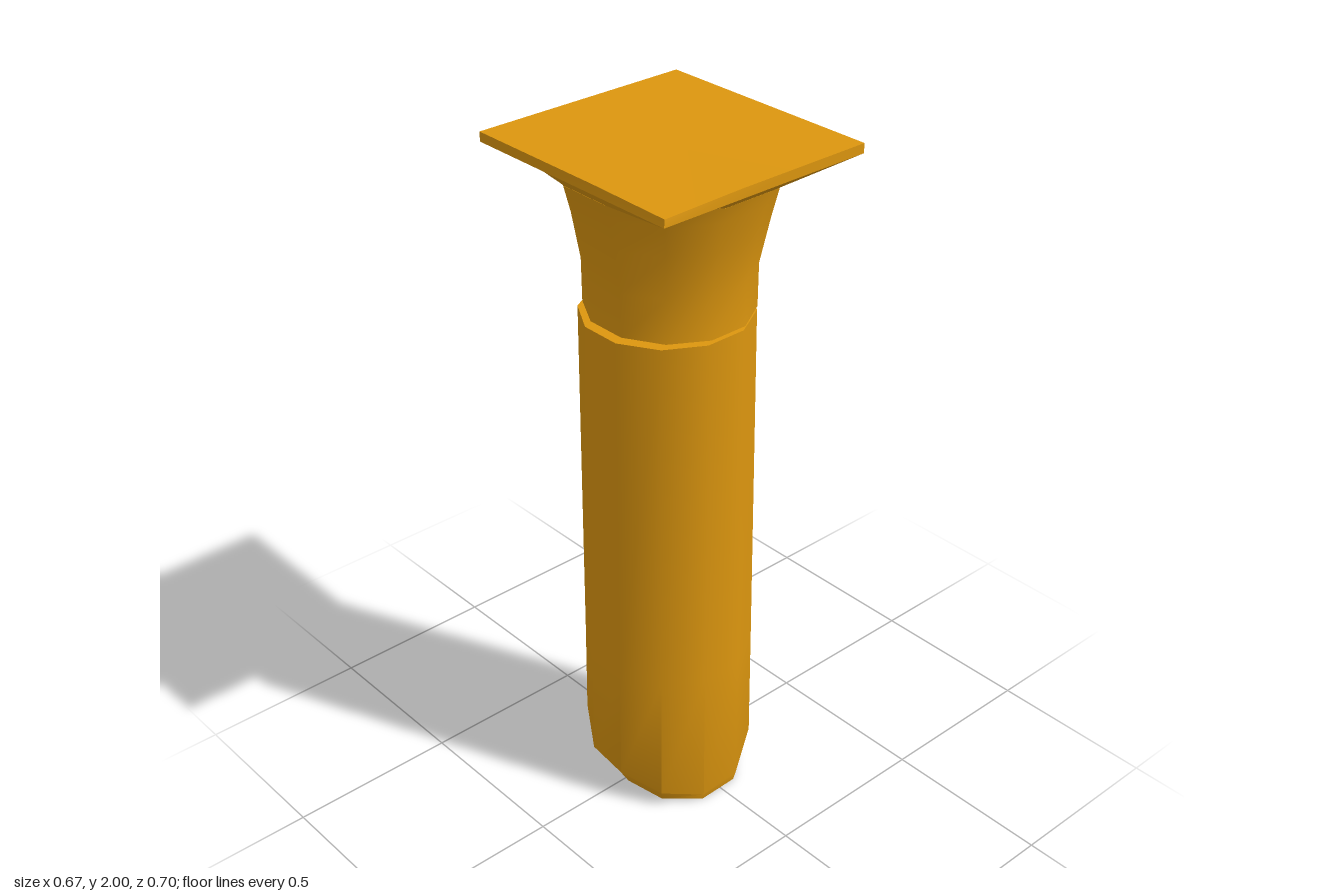
import * as THREE from 'three';
import { toCreasedNormals } from 'three/addons/utils/BufferGeometryUtils.js';

const SIDES = 12;
const material = new THREE.MeshStandardMaterial({ color: 0xdc960f });

// One cross-section: point(angle, index) returns [x, y, z].
function ring(point) {
  return Array.from({ length: SIDES }, (_, i) => point(((i + 0.5) / SIDES) * Math.PI * 2, i));
}

const circle = (rx, rz, y, cx = 0, cz = 0) =>
  ring((a) => [cx + rx * Math.cos(a), y, cz + rz * Math.sin(a)]);

// Rectangle sampled at the same angles, so the corners fall on ring points.
const rectangle = (w, d, y) =>
  ring((a) => {
    const c = Math.cos(a), s = Math.sin(a);
    const k = 1 / Math.max(Math.abs(c), Math.abs(s));
    return [w * c * k, y, d * s * k];
  });

// Skin rings from bottom to top and close both ends.
function loft(rings, crease) {
  const positions = rings.flat(2);
  const index = [];
  const last = (rings.length - 1) * SIDES;
  const addCentre = (r) => {
    for (let k = 0; k < 3; k++) positions.push(r.reduce((sum, p) => sum + p[k], 0) / SIDES);
    return positions.length / 3 - 1;
  };
  const bottom = addCentre(rings[0]);
  const top = addCentre(rings[rings.length - 1]);
  for (let i = 0; i < SIDES; i++) {
    const j = (i + 1) % SIDES;
    for (let r = 0; r < last; r += SIDES) {
      index.push(r + i, r + SIDES + i, r + j, r + j, r + SIDES + i, r + SIDES + j);
    }
    index.push(bottom, i, j, top, last + j, last + i);
  }
  const geometry = new THREE.BufferGeometry();
  geometry.setAttribute('position', new THREE.Float32BufferAttribute(positions, 3));
  geometry.setIndex(index);
  return toCreasedNormals(geometry, crease);
}

function addPart(group, name, rings, crease = 0.62) {
  const mesh = new THREE.Mesh(loft(rings, crease), material);
  mesh.name = name;
  group.add(mesh);
}

export function createModel() {
  const group = new THREE.Group();
  group.name = 'brokenColumn';

  // Shaft, snapped off along a slope with a chipped lower rim
  const chipHeight = [0.21, 0.1, 0.03, 0.02, 0.05, 0.1, 0.12, 0.18, 0.17, 0.18, 0.32, 0.25];
  const chipInset = [0.86, 0.9, 0.97, 0.98, 0.94, 0.86, 0.85, 0.82, 0.8, 0.8, 0.78, 0.82];
  const slope = (z) => 0.057 - 0.255 * z;
  const breakFace = ring((a, i) => {
    const z = 0.235 * chipInset[i] * Math.sin(a);
    return [-0.008 + 0.25 * chipInset[i] * Math.cos(a), slope(z), z];
  });
  const chippedEdge = ring((a, i) => [
    -0.008 + 0.25 * Math.cos(a), chipHeight[i], -0.002 + 0.238 * Math.sin(a),
  ]);
  addPart(group, 'shaft', [
    breakFace,
    chippedEdge,
    circle(0.247, 0.237, 0.45, -0.008, -0.002),
    circle(0.238, 0.235, 1.526, -0.01, -0.003),
  ], 0.7);

  // Flared neck of the capital
  addPart(group, 'capitalNeck', [
    circle(0.228, 0.234, 1.535, 0, -0.004),
    circle(0.23, 0.234, 1.66, 0, -0.004),
    circle(0.255, 0.258, 1.79),
    circle(0.277, 0.28, 1.88),
    circle(0.292, 0.294, 1.925),
  ]);

  // Square slab with a sloped underside and one worn corner
  const slabTop = rectangle(0.333, 0.349, 2);
  const worn = slabTop[4];
  worn[0] *= 0.985;
  worn[1] = 1.993;
  worn[2] *= 0.99;
  addPart(group, 'capitalSlab', [
    circle(0.29, 0.292, 1.924),
    rectangle(0.333, 0.349, 1.973),
    slabTop,
  ], 0.5);

  return group;
}
